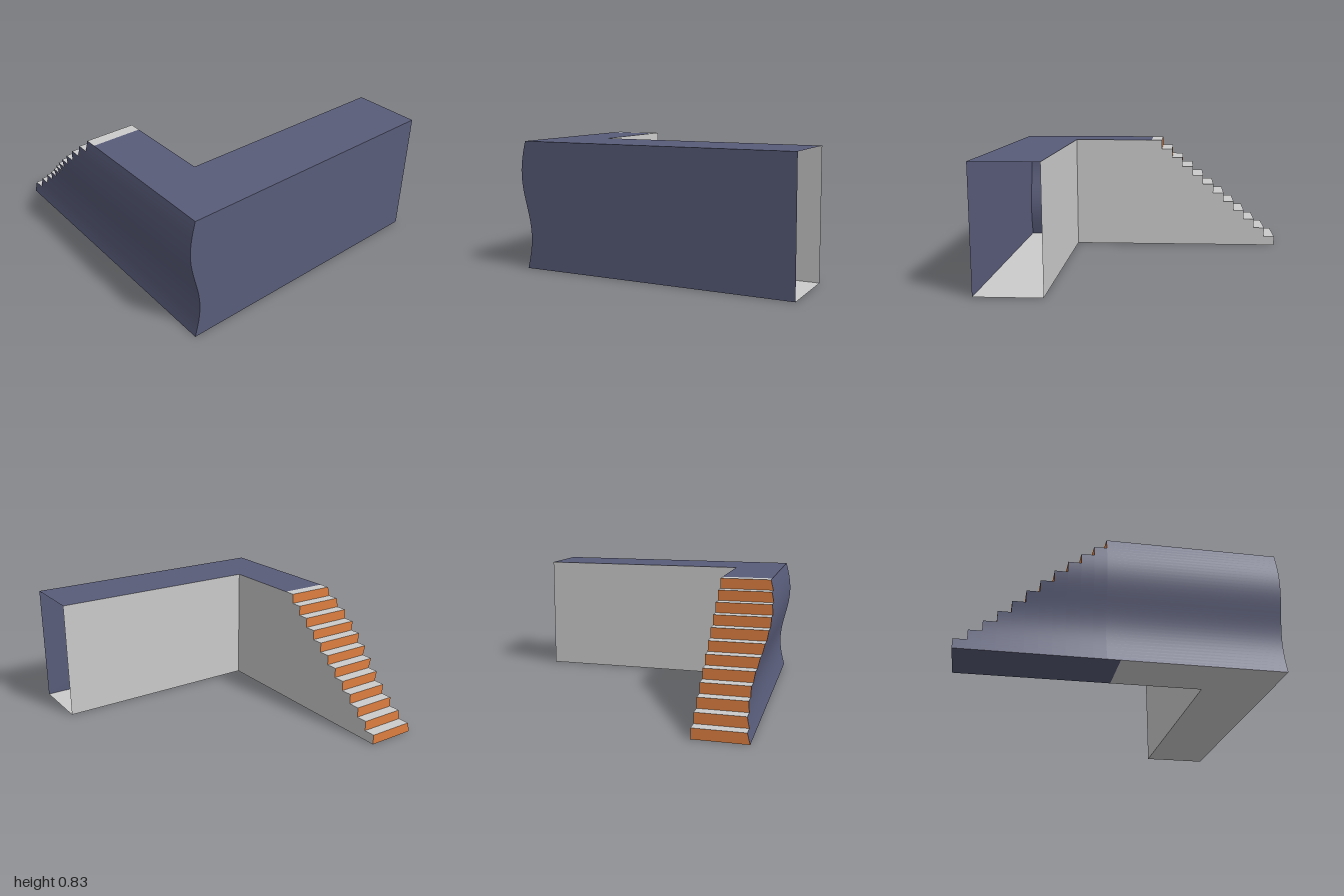
import * as THREE from 'three';
import { mergeGeometries } from 'three/addons/utils/BufferGeometryUtils.js';

const H = 0.83, END = 0.93, INNER_X = -0.56, INNER_Z = 0.56, FRONT = 1;
const STAIR_Z = -0.03, STEPS = 12, RISE = H / STEPS, RUN = (STAIR_Z + 1) / STEPS;
const WAVE_SEGS = 3; // wave subdivisions per step height

// x of the curved outer wall at height y
const wave = (y) => -0.907 + 0.01 * y / H + 0.034 * Math.sin(2 * Math.PI * y / H);

const mat = (color) => new THREE.MeshStandardMaterial({ color, side: THREE.DoubleSide });

export function createModel() {
  const group = new THREE.Group();
  const grey = mat(0xcccccc), navy = mat(0x585c79), orange = mat(0xe08040);

  const add = (name, geometry, material) => {
    const mesh = new THREE.Mesh(geometry, material);
    mesh.name = name;
    group.add(mesh);
  };
  const flat = (points) => new THREE.ShapeGeometry(new THREE.Shape(points.map(([x, y]) => new THREE.Vector2(x, y))));

  // horizontal panel from [x, z] points at height y
  const slab = (points, y) => flat(points).rotateX(Math.PI / 2).translate(0, y, 0);

  // upright panel facing z whose outer edge follows the wave
  const waveEdged = (y0, y1, x1, z, segs) => {
    const pts = [[x1, y0], [x1, y1]];
    for (let i = segs; i >= 0; i--) {
      const y = y0 + (y1 - y0) * i / segs;
      pts.push([wave(y), y]);
    }
    return flat(pts).translate(0, 0, z);
  };

  // L-shaped outline shared by roof and floor
  const outline = (x) => [[x, FRONT], [END, FRONT], [END, INNER_Z], [INNER_X, INNER_Z], [INNER_X, STAIR_Z], [x, STAIR_Z]];
  add('roof', slab(outline(wave(H)), H), navy);
  add('floor', slab(outline(wave(0)), 0), grey);
  add('stairFloor', slab([[wave(0), STAIR_Z], [INNER_X, STAIR_Z], [INNER_X, -1], [wave(0), -1]], 0), navy);

  // long walls; the +x end stays open
  add('frontWall', waveEdged(0, H, END, FRONT, STEPS * WAVE_SEGS), navy);
  add('backWall', flat([[INNER_X, 0], [END, 0], [END, H], [INNER_X, H]]).translate(0, 0, INNER_Z), grey);

  // stepped inner side wall, plus stairs and curved outer wall in columns
  const profile = [[INNER_Z, 0], [INNER_Z, H]];
  const treads = [], risers = [], columns = [];
  for (let i = 0; i < STEPS; i++) {
    const y = H - i * RISE, z0 = STAIR_Z - i * RUN, z1 = z0 - RUN;
    profile.push([z1, y], [z1, y - RISE]);
    treads.push(slab([[wave(y), z0], [INNER_X, z0], [INNER_X, z1], [wave(y), z1]], y));
    risers.push(waveEdged(y - RISE, y, INNER_X, z1, WAVE_SEGS));

    const start = i === 0 ? FRONT : z0;
    const column = new THREE.PlaneGeometry(start - z1, y, 1, (STEPS - i) * WAVE_SEGS);
    column.rotateY(-Math.PI / 2).translate(0, y / 2, (start + z1) / 2);
    const p = column.attributes.position;
    for (let k = 0; k < p.count; k++) p.setX(k, wave(p.getY(k)));
    column.computeVertexNormals();
    columns.push(column);
  }
  add('innerSideWall', flat(profile).rotateY(-Math.PI / 2).translate(INNER_X, 0, 0), grey);
  add('stairTreads', mergeGeometries(treads), grey);
  add('stairRisers', mergeGeometries(risers), orange);
  add('curvedOuterWall', mergeGeometries(columns), navy);

  return group;
}
